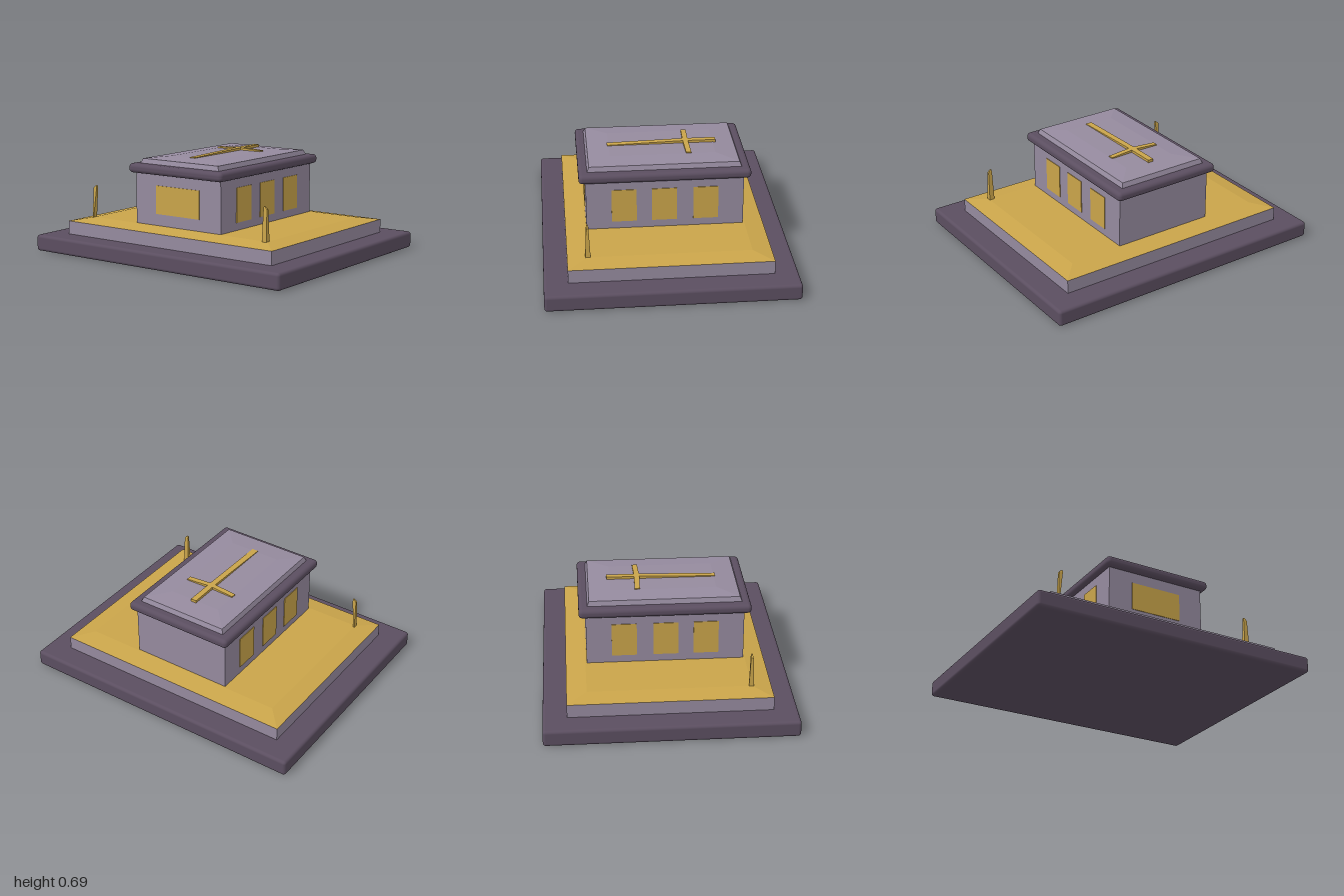
import * as THREE from 'three';
import { RoundedBoxGeometry } from 'three/addons/geometries/RoundedBoxGeometry.js';

export function createModel() {
  const model = new THREE.Group();
  model.name = 'tomb';

  const material = (name, color) => {
    const m = new THREE.MeshStandardMaterial({ color });
    m.name = name;
    return m;
  };
  const dark = material('dark purple stone', 0x5b4e60);
  const lilac = material('lilac stone', 0x958a9e);
  const gold = material('gold', 0xc9a44a);

  const add = (name, geometry, mat, x = 0, y = 0, z = 0) => {
    const mesh = new THREE.Mesh(geometry, mat);
    mesh.name = name;
    mesh.position.set(x, y, z);
    model.add(mesh);
    return mesh;
  };

  // Box standing on y0 whose top rectangle may differ in size and be shifted in x
  const frustum = (w0, d0, w1, d1, y0, y1, shift = 0) => {
    const g = new THREE.BoxGeometry(1, y1 - y0, 1).toNonIndexed();
    const p = g.attributes.position;
    for (let i = 0; i < p.count; i++) {
      const top = p.getY(i) > 0;
      p.setX(i, p.getX(i) * (top ? w1 : w0) + (top ? shift : 0));
      p.setZ(i, p.getZ(i) * (top ? d1 : d0));
    }
    g.translate(0, (y0 + y1) / 2, 0);
    g.computeVertexNormals();
    return g;
  };

  // Stepped base
  add('base', new RoundedBoxGeometry(2, 0.11, 1.63, 3, 0.02), dark, 0, 0.055, 0);
  add('plinth', frustum(1.68, 1.32, 1.68, 1.32, 0.1, 0.2), lilac);
  add('plinthTop', frustum(1.68, 1.32, 1.44, 1.06, 0.2, 0.222), gold);

  // Chamber with its cornice and low hipped lid
  add('chamber', frustum(0.7, 1.04, 0.7, 1.04, 0.21, 0.58), lilac);
  add('cornice', new RoundedBoxGeometry(0.77, 0.062, 1.13, 4, 0.026), dark, 0, 0.595, 0);
  add('lidStep', frustum(0.65, 1.02, 0.62, 0.99, 0.62, 0.657), lilac);
  add('lidTop', frustum(0.62, 0.99, 0.36, 0.7, 0.657, 0.669), lilac);

  // Front panel and three windows on each side
  add('frontPanel', new THREE.BoxGeometry(0.36, 0.19, 0.008), gold, 0, 0.395, 0.52);
  for (const side of [-1, 1]) {
    for (const z of [0.27, 0.005, -0.27]) {
      add('sideWindow', new THREE.BoxGeometry(0.009, 0.23, 0.165), gold, side * 0.35, 0.388, z);
    }
  }

  // Cross lying on the lid, falling away slightly at its arms and foot
  const outline = [[0.02, 0.37], [0.02, 0.185], [0.18, 0.19], [0.18, 0.155], [0.02, 0.15], [0.022, -0.36]];
  const shape = new THREE.Shape([
    ...outline.map(([x, y]) => new THREE.Vector2(x, y)),
    ...outline.slice().reverse().map(([x, y]) => new THREE.Vector2(-x, y)),
  ]);
  const crossGeometry = new THREE.ExtrudeGeometry(shape, { depth: 0.03, bevelEnabled: false });
  crossGeometry.rotateX(-Math.PI / 2);
  const p = crossGeometry.attributes.position;
  for (let i = 0; i < p.count; i++) {
    const drop = Math.abs(p.getX(i)) * 0.06 + Math.max(0, p.getZ(i) + 0.15) * 0.025;
    if (p.getY(i) > 0.01) p.setY(i, p.getY(i) - drop);
  }
  crossGeometry.computeVertexNormals();
  add('cross', crossGeometry, gold, 0, 0.657, 0);

  // Slim candles at the front corners, each with a small pointed tip
  add('leftCandle', frustum(0.036, 0.034, 0.026, 0.016, 0.215, 0.425), gold, 0.703, 0, 0.527);
  add('leftCandleTip', frustum(0.026, 0.016, 0.008, 0.008, 0.425, 0.443, -0.008), gold, 0.703, 0, 0.527);
  add('rightCandle', frustum(0.008, 0.034, 0.026, 0.016, 0.215, 0.425, 0.014), gold, -0.721, 0, 0.527);
  add('rightCandleTip', frustum(0.026, 0.016, 0.008, 0.008, 0.425, 0.443, 0.008), gold, -0.707, 0, 0.527);

  return model;
}
